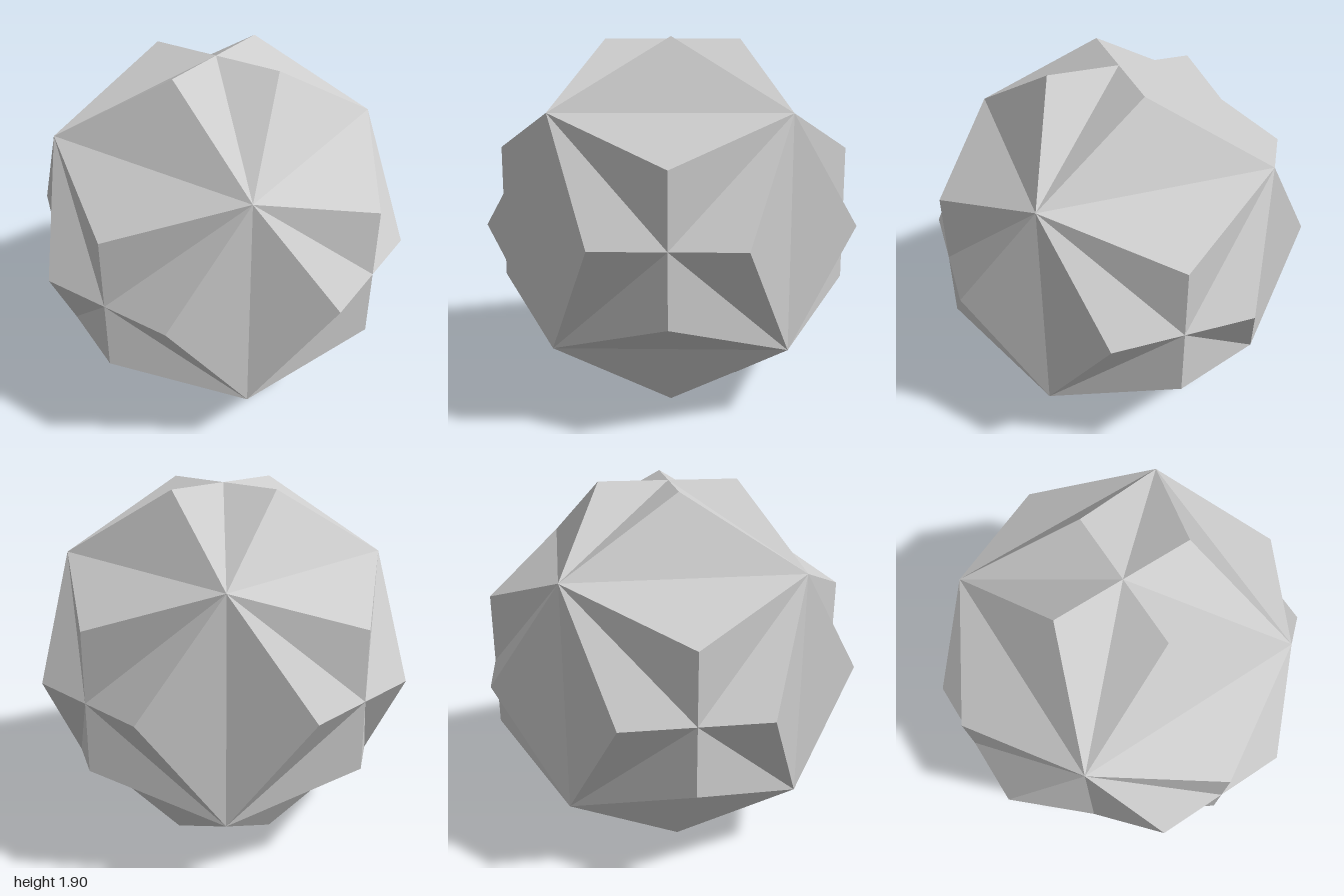
import * as THREE from 'three';

// Golden-ratio measures of a regular pentagon of radius 1
const C36 = Math.cos(Math.PI / 5), C72 = Math.cos(Math.PI * 0.4);
const S36 = Math.sin(Math.PI / 5), S72 = Math.sin(Math.PI * 0.4);
const D = 1 - C36;

const v = (x, y, z) => new THREE.Vector3(x, y, z);
const quarterTurn = p => v(p.z, p.y, -p.x);
const mirrorY = p => v(p.x, -p.y, p.z);

// Repeats triangles four times about the y axis, each facing outward
function facetMesh(name, triangles, material) {
  const points = [];
  for (let tri of triangles) {
    for (let i = 0; i < 4; i++) {
      const [a, b, c] = tri;
      const normal = b.clone().sub(a).cross(c.clone().sub(a));
      points.push(...(normal.dot(a) > 0 ? [a, b, c] : [a, c, b]));
      tri = tri.map(quarterTurn);
    }
  }
  const geometry = new THREE.BufferGeometry().setFromPoints(points);
  geometry.computeVertexNormals();
  const mesh = new THREE.Mesh(geometry, material);
  mesh.name = name;
  return mesh;
}

export function createModel() {
  const model = new THREE.Group();
  model.name = 'starPolyhedron';
  const material = new THREE.MeshStandardMaterial({ color: 0xcccccc, flatShading: true });

  // Corners of one quarter of the upper half
  const hub = v(-D, S36, C36);
  const nextHub = quarterTurn(hub);
  const lowHub = mirrorY(hub);
  const tip = v(D, 0, 1);
  const ridgeEnd = v(C36, 0, 2 * C72);
  const crossing = v(0.5, 0, C36);
  const notch = v(0.5, 0.5 * Math.tan(Math.PI / 5), C36);
  const pole = v(0, S72, 0);
  const crest = v(D, S72, C72);

  // Horizontal ridges with the vertical crossing blades
  const ridges = [
    [hub, tip, crossing], [hub, crossing, notch],
    [nextHub, crossing, ridgeEnd], [nextHub, notch, crossing],
    [hub, notch, nextHub],
  ];
  // Creased cap around the pole
  const cap = [[pole, hub, crest], [pole, crest, nextHub], [hub, crest, nextHub]];
  // Pairs of faces meeting along the upright edges
  const sides = [[hub, lowHub, tip], [hub, lowHub, v(-2 * C72, 0, C36)]];

  const flip = list => list.map(t => t.map(mirrorY));
  model.add(
    facetMesh('sideFacets', sides, material),
    facetMesh('upperRidges', ridges, material),
    facetMesh('lowerRidges', flip(ridges), material),
    facetMesh('topCap', cap, material),
    facetMesh('bottomCap', flip(cap), material),
  );
  // Stand the model on the ground
  for (const part of model.children) part.position.y = S72;
  return model;
}
